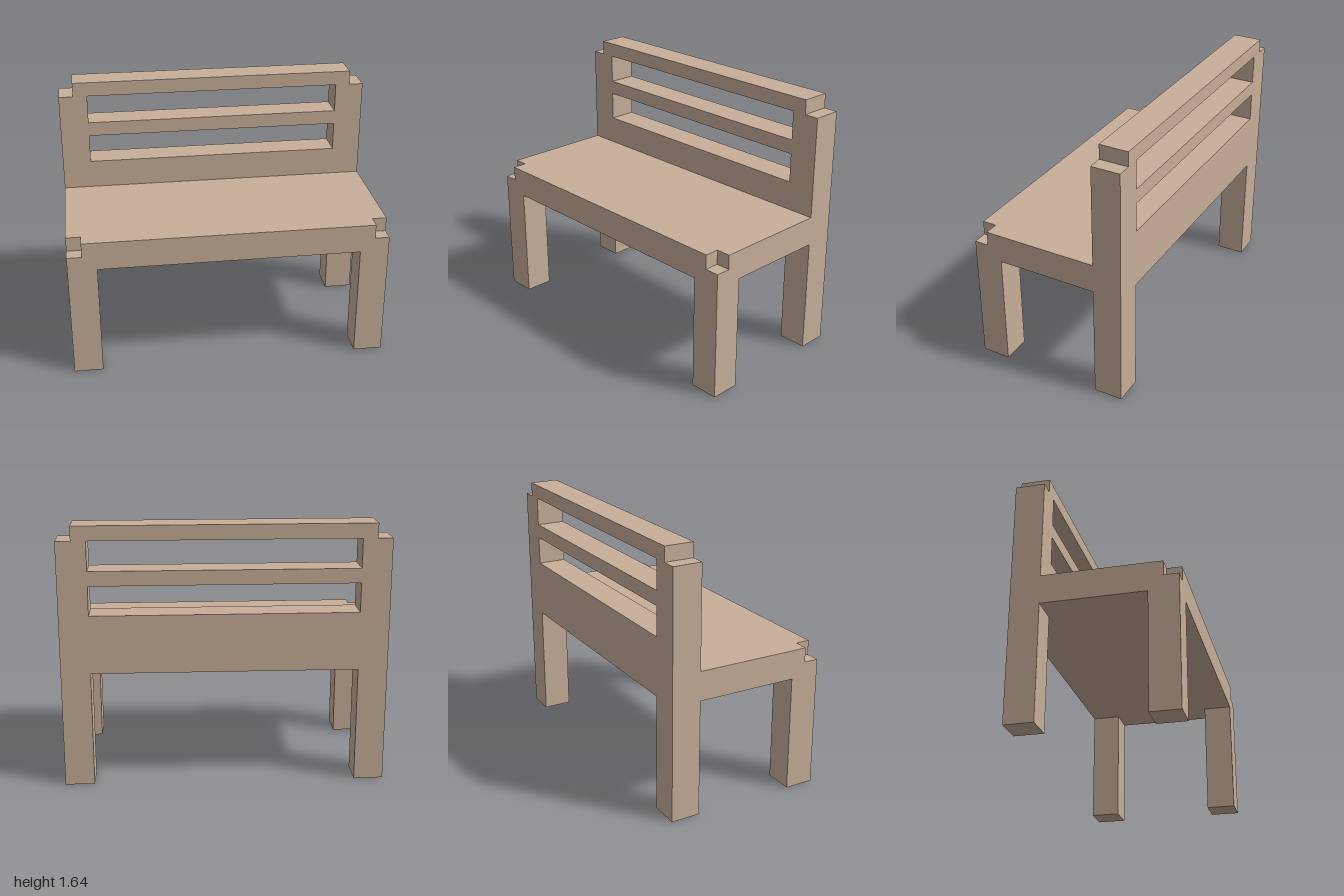
import * as THREE from 'three';

// One grid unit: the bench is 22 wide, 18 high and 11 deep
const U = 1 / 11;

const wood = new THREE.MeshStandardMaterial({ color: 0xc7ae99 });
wood.name = 'paleWood';

const points = (list) => list.map(([x, y]) => new THREE.Vector2(x * U, y * U));

function addMesh(group, name, geometry) {
  const mesh = new THREE.Mesh(geometry, wood);
  mesh.name = name;
  group.add(mesh);
  return mesh;
}

function extrude(shape, depth) {
  return new THREE.ExtrudeGeometry(shape, { depth: depth * U, bevelEnabled: false });
}

export function createModel() {
  const bench = new THREE.Group();
  bench.name = 'bench';

  // Back frame: rear legs, posts, lower panel and stepped top rail in one outline
  const half = [[9, 0], [11, 0], [11, 17], [10, 17], [10, 18]];
  const mirrored = half.map(([x, y]) => [-x, y]).reverse();
  const frame = new THREE.Shape(points([[9, 8], ...half, ...mirrored, [-9, 8]]));

  // Openings between the back rails
  for (const [bottom, top] of [[12, 14], [15, 17]]) {
    frame.holes.push(new THREE.Path(points([[-9, bottom], [-9, top], [9, top], [9, bottom]])));
  }
  addMesh(bench, 'backFrame', extrude(frame, 2)).position.z = -5.5 * U;

  // Seat: full lower layer, upper layer with notched front corners
  addMesh(bench, 'seatBase', new THREE.BoxGeometry(22 * U, U, 9 * U)).position.set(0, 8.5 * U, U);
  const top = new THREE.Shape(points([
    [-11, 3.5], [-11, -4.5], [-10, -4.5], [-10, -5.5],
    [10, -5.5], [10, -4.5], [11, -4.5], [11, 3.5],
  ]));
  addMesh(bench, 'seatTop', extrude(top, 1).rotateX(-Math.PI / 2)).position.y = 9 * U;

  // Front legs
  for (const [name, side] of [['leftFrontLeg', 1], ['rightFrontLeg', -1]]) {
    addMesh(bench, name, new THREE.BoxGeometry(2 * U, 8 * U, 2 * U))
      .position.set(side * 10 * U, 4 * U, 4.5 * U);
  }

  return bench;
}
